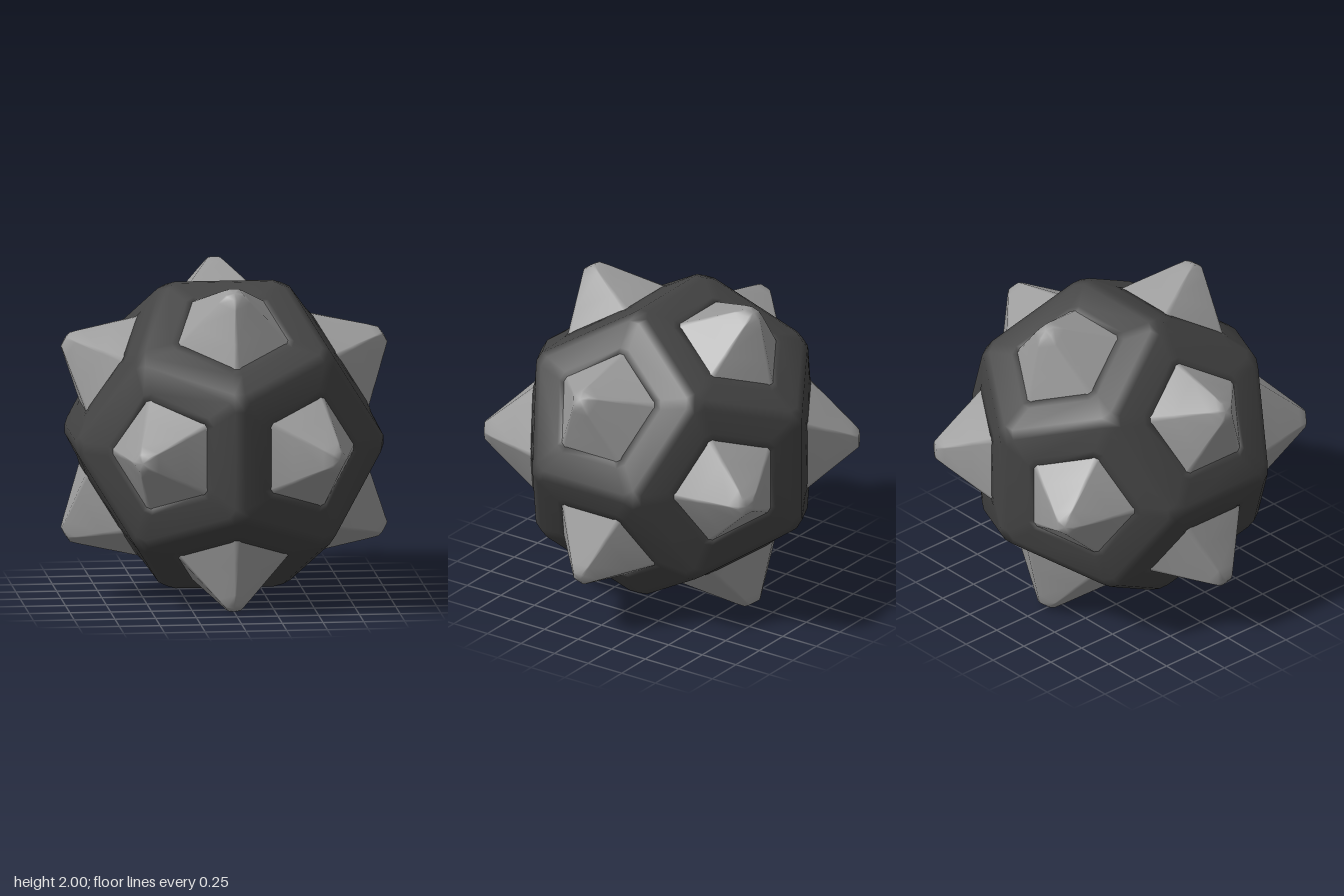
import * as THREE from 'three';
import { mergeVertices, mergeGeometries } from 'three/addons/utils/BufferGeometryUtils.js';
import { ConvexGeometry } from 'three/addons/geometries/ConvexGeometry.js';

const PHI = (1 + Math.sqrt(5)) / 2;
const SLOPE = Math.tan(Math.PI / 5);

// The 12 face directions of a dodecahedron, each with an in-plane axis towards one edge
function faceFrames() {
  const frames = [];
  for (let axis = 0; axis < 3; axis++)
    for (const a of [1, -1])
      for (const b of [1, -1]) {
        const n = new THREE.Vector3(), t = new THREE.Vector3();
        n.setComponent(axis, a * PHI).setComponent((axis + 1) % 3, b).normalize();
        t.setComponent(axis, a * 1).setComponent((axis + 1) % 3, -b * PHI).normalize();
        frames.push({ n, t, s: new THREE.Vector3().crossVectors(n, t) });
      }
  return frames;
}

// Pentagon ring with clipped corners: inner radius r, at distance d along the face normal
function pentagonRing({ n, t, s }, r, d, clip) {
  const points = [];
  for (let k = 0; k < 5; k++) {
    const c = Math.cos(k * Math.PI * 0.4), q = Math.sin(k * Math.PI * 0.4);
    for (const side of [-1, 1]) {
      const w = side * r * SLOPE * clip;
      points.push(new THREE.Vector3()
        .addScaledVector(n, d)
        .addScaledVector(t, r * c - w * q)
        .addScaledVector(s, r * q + w * c));
    }
  }
  return points;
}

// Skin rings listed from outside to centre, optionally closing the last one
function skin(rings, cap) {
  const tri = [];
  for (let i = 0; i + 1 < rings.length; i++)
    for (let j = 0; j < 10; j++) {
      const k = (j + 1) % 10, A = rings[i], B = rings[i + 1];
      tri.push(A[j], A[k], B[k], A[j], B[k], B[j]);
    }
  if (cap) {
    const last = rings[rings.length - 1];
    for (let j = 0; j < 10; j++) tri.push(last[j], last[(j + 1) % 10], cap);
  }
  return new THREE.BufferGeometry().setFromPoints(tri);
}

function smooth(geometry) {
  const g = mergeVertices(geometry, 1e-4);
  g.computeVertexNormals();
  return g;
}

// Rounded edges and corners: hull of the outer rings, without its 12 flat faces
function edgeSkin(frames, points) {
  const p = new ConvexGeometry(points).getAttribute('position');
  const kept = [], normal = new THREE.Vector3();
  for (let i = 0; i < p.count; i += 3) {
    const v = [0, 1, 2].map((k) => new THREE.Vector3().fromBufferAttribute(p, i + k));
    new THREE.Triangle(...v).getNormal(normal);
    if (!frames.some((f) => f.n.dot(normal) > 0.995)) kept.push(...v);
  }
  return new THREE.BufferGeometry().setFromPoints(kept);
}

export function createModel() {
  const model = new THREE.Group();
  model.name = 'spikedDodecahedron';
  const shellMaterial = new THREE.MeshStandardMaterial({ color: 0x444444, side: THREE.DoubleSide });
  const spikeMaterial = new THREE.MeshStandardMaterial({ color: 0x9c9c9c });
  const frames = faceFrames();

  // Shell: each face rises to a small lip around its pentagonal opening
  const shellParts = [], outer = [];
  for (const f of frames) {
    const rings = [
      pentagonRing(f, 0.471, 0.82, 0.877),
      pentagonRing(f, 0.33, 0.832, 0.84),
      pentagonRing(f, 0.288, 0.845, 0.82),
      pentagonRing(f, 0.27, 0.8, 0.82),
    ];
    outer.push(...rings[0]);
    shellParts.push(skin(rings));
  }
  shellParts.push(edgeSkin(frames, outer));
  const shell = new THREE.Mesh(smooth(mergeGeometries(shellParts)), shellMaterial);
  shell.name = 'shell';
  shell.position.y = 1;
  model.add(shell);

  // Spikes: blunt five-sided pyramids, one through every opening
  const spikes = new THREE.Group();
  spikes.name = 'spikes';
  spikes.position.y = 1;
  for (const f of frames) {
    const rings = [0.79, 0.95, 1.1, 1.145].map((d) =>
      pentagonRing(f, 0.049 + 0.8 * (1.145 - d), d, d > 1.12 ? 0.7 : 0.9));
    const spike = new THREE.Mesh(smooth(skin(rings, f.n.clone().multiplyScalar(1.15))), spikeMaterial);
    spike.name = 'spike';
    spikes.add(spike);
  }
  model.add(spikes);
  return model;
}
